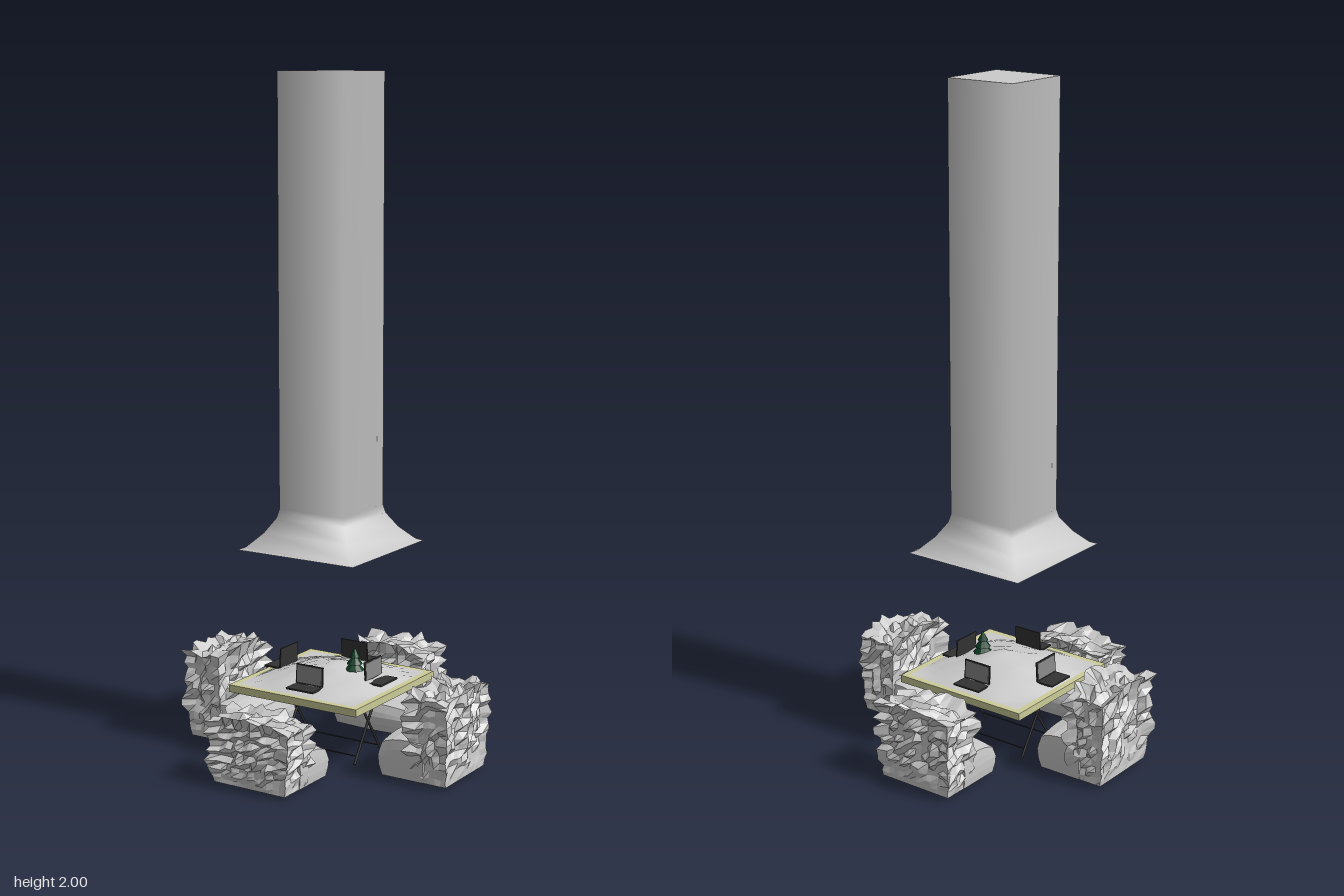
import * as THREE from 'three';

const material = (color, opts = {}) => new THREE.MeshStandardMaterial({ color, ...opts });
const stone = material(0xcccccc, { flatShading: true, side: THREE.DoubleSide });
const sheet = material(0xcccccc, { side: THREE.DoubleSide });
const wood = material(0xcccc99);
const dark = material(0x333333);
const screenGrey = material(0x888888);
const green = material(0x0c3b22, { flatShading: true });

function add(parent, name, geometry, mat, x = 0, y = 0, z = 0) {
  const mesh = new THREE.Mesh(geometry, mat);
  mesh.name = name;
  mesh.position.set(x, y, z);
  parent.add(mesh);
  return mesh;
}

// Repeatable value in 0..1 for a point, so coincident corners stay joined
function hash(x, y, z, seed) {
  const s = Math.sin(Math.round(x * 1000) * 12.99 + Math.round(y * 1000) * 78.23 + Math.round(z * 1000) * 37.72 + seed * 5.3) * 43758.55;
  return s - Math.floor(s);
}

// Straight rod between two points
function rod(parent, name, a, b, r) {
  const from = new THREE.Vector3(...a), to = new THREE.Vector3(...b);
  const dir = to.clone().sub(from);
  const mesh = add(parent, name, new THREE.CylinderGeometry(r, r, dir.length(), 6), dark);
  mesh.position.copy(from).add(to).multiplyScalar(0.5);
  mesh.quaternion.setFromUnitVectors(new THREE.Vector3(0, 1, 0), dir.normalize());
}

// Box whose grid is pushed by a rule
function warpedBox(size, segments, rule) {
  const g = new THREE.BoxGeometry(...size, ...segments);
  const p = g.attributes.position, v = new THREE.Vector3();
  for (let i = 0; i < p.count; i++) {
    v.fromBufferAttribute(p, i);
    rule(v, v.x / size[0] * 2, v.y / size[1] * 2, v.z / size[2] * 2);
    p.setXYZ(i, v.x, v.y, v.z);
  }
  g.computeVertexNormals();
  return g;
}

// Rough-hewn seat: smooth cushion block and a ragged back, back toward +z
function chair(parent, { name, angle, x, z, width, seatY, height, seed }) {
  const group = new THREE.Group();
  group.name = name;

  const seat = warpedBox([width, seatY - 0.01, 0.15], [8, 4, 6], (v, u, h, d) => {
    if (h > 0.4) v.y += 0.008 * Math.cos(d * 3) - 0.008 * u * u + 0.012 * Math.max(0, d);
    v.x *= 1 - 0.03 * h * h;
    if (d < -0.9) v.z += 0.012 * h * h - 0.005 * Math.cos(u * 2);
  });
  add(group, name + 'Seat', seat, stone, 0, (seatY + 0.01) / 2, 0.275);

  const back = warpedBox([width - 0.01, height - 0.01, 0.105], [12, 14, 6], (v, u, h, d) => {
    const { x: x0, y: y0, z: z0 } = v;
    const side = Math.abs(u) > 0.99, top = h > 0.99, face = Math.abs(d) > 0.99;
    const edges = side + top + face;
    const low = h < -0.98 ? 0 : Math.min(1, (h + 1) * 1.3);
    const n = hash(x0, y0, z0, seed);
    const push = low * (edges > 1 ? 0.004 + 0.022 * n : (n > 0.6 ? 0.012 : -0.005));
    if (side) v.x += Math.sign(u) * push;
    if (face) v.z += Math.sign(d) * push;
    if (top) v.y += push - 0.02 * u * u;
    if (low) {
      v.x += 0.008 * (hash(z0, x0, y0, seed) - 0.5);
      v.y += 0.008 * (hash(y0, z0, x0, seed) - 0.5);
    }
    v.z += 0.006 * Math.sin(u * 4 + seed) * low;
  });
  add(group, name + 'Back', back, stone, 0, (height + 0.01) / 2, 0.37);

  group.rotation.y = angle;
  group.position.set(x, 0, z);
  parent.add(group);
}

// Open laptop, keyboard reaching outward along +z
function laptop(parent, name, angle, x, z) {
  const group = new THREE.Group();
  group.name = name;
  add(group, 'keyboard', new THREE.BoxGeometry(0.092, 0.005, 0.055), dark, 0, 0.243, 0.027);
  const lid = new THREE.Group();
  lid.name = 'lid';
  lid.position.y = 0.244;
  lid.rotation.x = -0.06;
  add(lid, 'lidShell', new THREE.BoxGeometry(0.092, 0.06, 0.004), dark, 0, 0.03, 0);
  add(lid, 'display', new THREE.BoxGeometry(0.084, 0.05, 0.002), screenGrey, 0, 0.031, 0.002);
  group.add(lid);
  group.rotation.y = angle;
  group.position.set(x, 0, z);
  parent.add(group);
}

export function createModel() {
  const model = new THREE.Group();
  model.name = 'tableUnderHood';

  // Square hood, open below, with a flared skirt
  const profile = [[0.198, 0.625], [0.18, 0.633], [0.143, 0.672], [0.116, 0.715], [0.11, 0.74], [0.11, 2]]
    .map(([r, y]) => new THREE.Vector2(r * Math.SQRT2, y));
  add(model, 'hood', new THREE.LatheGeometry(profile, 4, Math.PI / 4), sheet, -0.03, 0, -0.0225);
  const cap = add(model, 'hoodCap', new THREE.PlaneGeometry(0.22, 0.22), sheet, -0.03, 2, -0.0225);
  cap.rotation.x = -Math.PI / 2;

  // Table board with a raised rim
  const table = new THREE.Group();
  table.name = 'table';
  table.position.set(-0.015, 0, -0.003);
  add(table, 'board', new THREE.BoxGeometry(0.42, 0.016, 0.42), wood, 0, 0.213, 0);
  for (const s of [-1, 1]) {
    add(table, 'rimSide', new THREE.BoxGeometry(0.02, 0.022, 0.438), wood, s * 0.21, 0.216, 0);
    add(table, 'rimEnd', new THREE.BoxGeometry(0.4, 0.022, 0.02), wood, 0, 0.216, s * 0.209);
  }

  // Creased terrain covering the board
  const terrain = new THREE.PlaneGeometry(0.4, 0.4, 14, 14).rotateX(-Math.PI / 2);
  const p = terrain.attributes.position;
  for (let i = 0; i < p.count; i++) {
    const x = p.getX(i), z = p.getZ(i);
    const r = Math.min(1, Math.max(Math.hypot(x, z) / 0.22, Math.abs(x) / 0.2, Math.abs(z) / 0.2));
    const lift = Math.pow(1 - r, 0.8) * (0.055 + 0.012 * (hash(x, 0, z, 3) - 0.5));
    p.setY(i, 0.227 + lift);
  }
  terrain.computeVertexNormals();
  add(table, 'terrain', terrain, sheet);

  // Crossed trestle legs and stretchers
  for (const x of [-0.125, 0.125]) {
    for (const s of [-1, 1]) rod(table, 'trestleLeg', [x, 0.004, s * 0.075], [x, 0.206, -s * 0.06], 0.004);
    rod(table, 'trestleTop', [x, 0.202, -0.1], [x, 0.202, 0.1], 0.004);
  }
  for (const z of [-0.06, 0.06]) rod(table, 'stretcher', [-0.125, 0.025, z], [0.125, 0.025, z], 0.002);
  model.add(table);

  // Four laptops facing the seats
  laptop(model, 'frontLaptop', 0, 0, 0.143);
  laptop(model, 'leftLaptop', Math.PI / 2, 0.122, -0.013);
  laptop(model, 'backLaptop', Math.PI, -0.028, -0.15);
  laptop(model, 'rightLaptop', -Math.PI / 2, -0.17, 0);

  // Small fir tree
  const tree = new THREE.Group();
  tree.name = 'tree';
  tree.position.set(0.062, 0, -0.005);
  add(tree, 'trunk', new THREE.CylinderGeometry(0.005, 0.006, 0.03, 6), dark, 0, 0.265, 0);
  [[0.03, 0.28], [0.024, 0.298], [0.016, 0.318]].forEach(([r, y]) =>
    add(tree, 'branches', new THREE.ConeGeometry(r, 0.03, 9), green, 0, y, 0));
  model.add(tree);

  // Seats around the table
  const seats = [
    { name: 'frontChair', angle: 0, x: -0.023, z: -0.005, width: 0.25, seatY: 0.105, height: 0.2, seed: 1 },
    { name: 'leftChair', angle: Math.PI / 2, x: 0.015, z: 0, width: 0.235, seatY: 0.125, height: 0.262, seed: 2 },
    { name: 'backChair', angle: Math.PI, x: -0.012, z: 0, width: 0.25, seatY: 0.105, height: 0.243, seed: 3 },
    { name: 'rightChair', angle: -Math.PI / 2, x: -0.015, z: 0.012, width: 0.24, seatY: 0.125, height: 0.278, seed: 4 },
  ];
  seats.forEach((s) => chair(model, s));

  return model;
}
